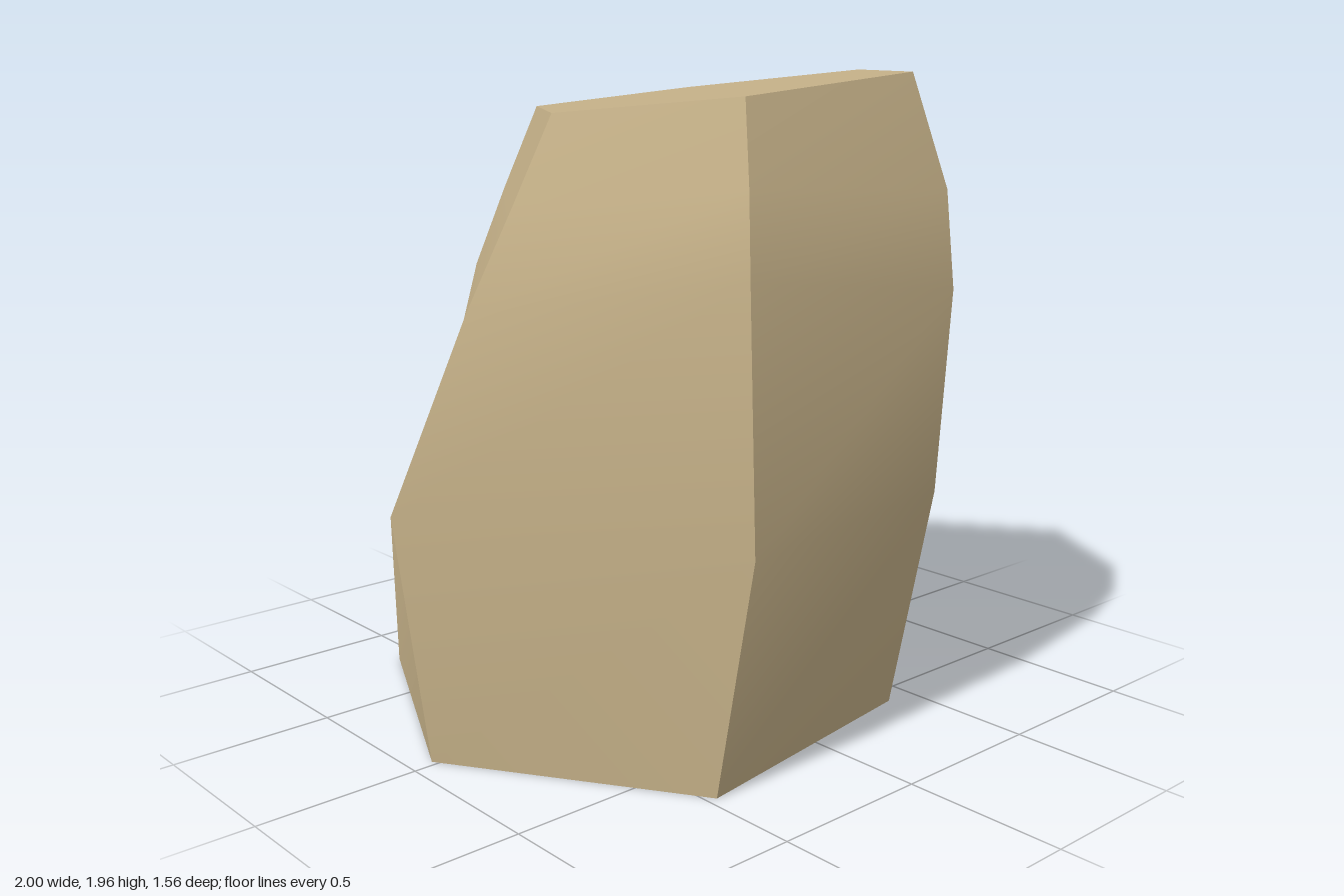
import * as THREE from 'three';

// Six corner edges of the stone, each listed bottom to top as [x, y, z],
// running counterclockwise (seen from above) from the -x side.
const EDGES = [
  [[-0.93, 0, -0.02], [-1.0, 0.74, -0.08], [-0.81, 1.31, 0.04], [-0.65, 1.6, 0.05], [-0.51, 1.85, 0.05]],
  [[-0.47, 0, 0.7], [-0.41, 0.69, 0.78], [-0.34, 1.42, 0.68], [-0.27, 1.66, 0.6], [-0.2, 1.9, 0.51]],
  [[0.4, 0, 0.57], [0.38, 0.73, 0.74], [0.46, 1.33, 0.72], [0.49, 1.62, 0.66], [0.46, 1.96, 0.54]],
  [[0.81, 0, -0.06], [1.0, 0.69, -0.06], [0.91, 1.36, -0.04], [0.86, 1.62, 0.11], [0.71, 1.96, 0.1]],
  [[0.34, 0, -0.78], [0.39, 0.68, -0.76], [0.43, 1.34, -0.62], [0.45, 1.57, -0.57], [0.42, 1.9, -0.4]],
  [[-0.57, 0, -0.77], [-0.42, 0.68, -0.76], [-0.26, 1.33, -0.7], [-0.24, 1.59, -0.56], [-0.21, 1.85, -0.42]],
];

function surface(points, index) {
  const geometry = new THREE.BufferGeometry();
  geometry.setAttribute('position', new THREE.Float32BufferAttribute(points.flat(), 3));
  geometry.setIndex(index);
  geometry.computeVertexNormals();
  return geometry;
}

// One side: a smoothly shaded strip between two neighbouring edges
function sidePanel(left, right) {
  const n = left.length;
  const index = [];
  for (let i = 0; i < n - 1; i++) {
    index.push(i, n + i, n + i + 1, i, n + i + 1, i + 1);
  }
  return surface([...left, ...right], index);
}

// Flat hexagonal end
function cap(ring) {
  const index = [];
  for (let i = 1; i < ring.length - 1; i++) index.push(0, i, i + 1);
  return surface(ring, index);
}

export function createModel() {
  const model = new THREE.Group();
  model.name = 'stoneColumn';
  const stone = new THREE.MeshStandardMaterial({ color: 0xc2ae86 });
  stone.name = 'sandstone';

  const add = (name, geometry) => {
    const mesh = new THREE.Mesh(geometry, stone);
    mesh.name = name;
    model.add(mesh);
  };

  // Six sides, with sharp corners between them
  EDGES.forEach((edge, i) => add(`side${i + 1}`, sidePanel(edge, EDGES[(i + 1) % EDGES.length])));

  // Tilted top and flat base
  add('top', cap(EDGES.map((edge) => edge[edge.length - 1])));
  add('base', cap(EDGES.map((edge) => edge[0]).reverse()));

  return model;
}
